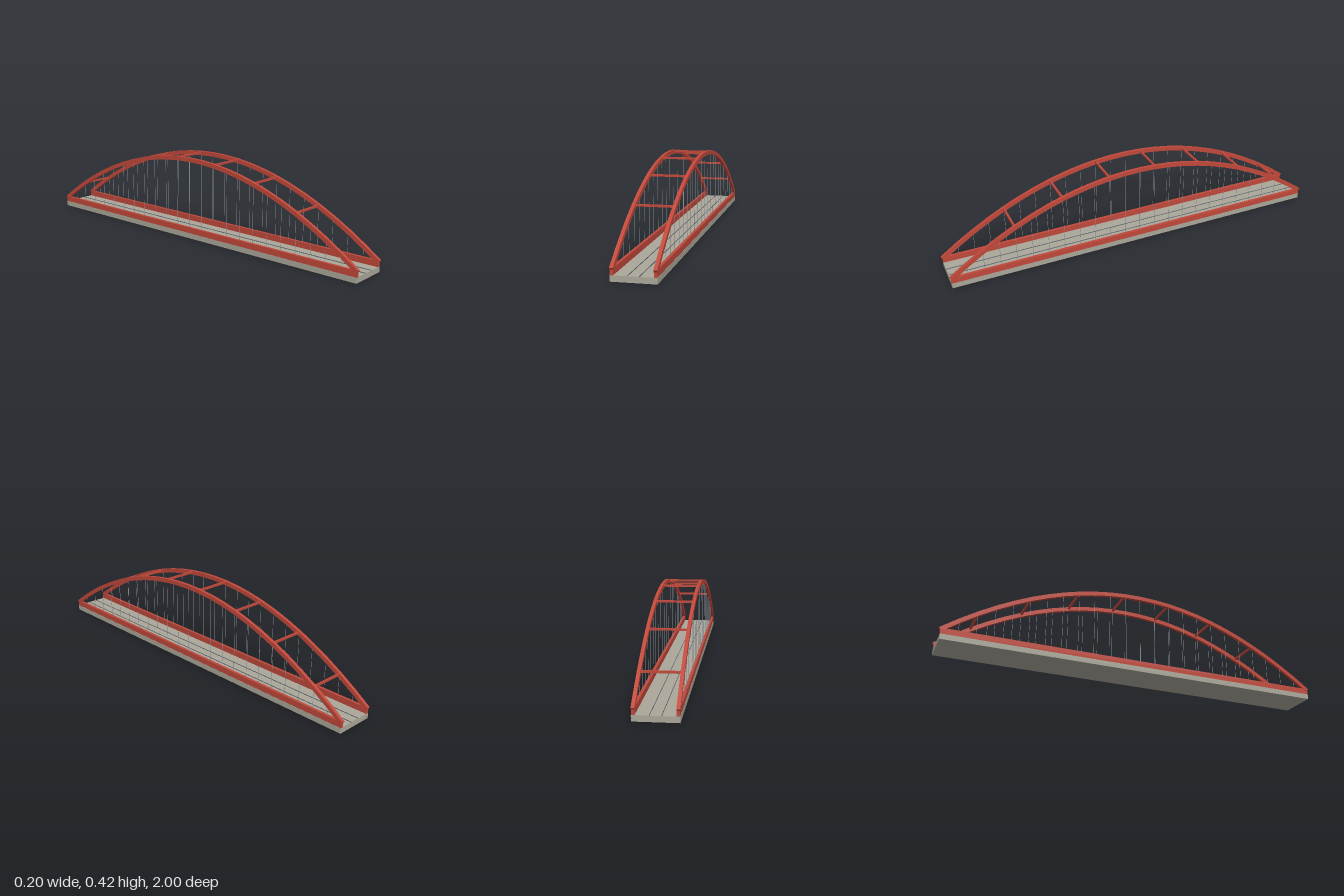
import * as THREE from 'three';

const HALF = 0.995, SEGMENTS = 24, SIDE_X = 0.092;
const BASE_Y = 0.05, RISE = 0.364;
const archY = z => BASE_Y + RISE * (1 - (z / HALF) ** 2);
const nodeZ = k => -HALF + (2 * HALF * k) / SEGMENTS;

function material(name, color) {
  const m = new THREE.MeshStandardMaterial({ color });
  m.name = name;
  return m;
}

export function createModel() {
  const red = material('red steel', 0xc1483b);
  const concrete = material('concrete', 0xaaa699);
  const railSteel = material('rail steel', 0x59636d);
  const cable = material('cable grey', 0x8a9299);
  const model = new THREE.Group();
  model.name = 'archBridge';

  function add(name, geometry, mat, x, y, z, parent = model) {
    const mesh = new THREE.Mesh(geometry, mat);
    mesh.name = name;
    mesh.position.set(x, y, z);
    parent.add(mesh);
    return mesh;
  }

  // Deck slab
  add('deck', new THREE.BoxGeometry(0.2, 0.027, 2 * HALF), concrete, 0, 0.0135, 0);

  // Arch rib: parabola offset along its normal on both sides, then extruded
  const upper = [], lower = [];
  for (let k = 0; k <= SEGMENTS; k++) {
    const z = nodeZ(k), y = archY(z);
    const slope = (-2 * RISE * z) / HALF ** 2;
    const n = new THREE.Vector2(-slope, 1).normalize().multiplyScalar(0.0105);
    upper.push(new THREE.Vector2(z + n.x, y + n.y));
    lower.push(new THREE.Vector2(z - n.x, y - n.y));
  }
  const ribWidth = 0.016;
  const ribGeometry = new THREE.ExtrudeGeometry(
    new THREE.Shape([...upper, ...lower.reverse()]),
    { depth: ribWidth, bevelEnabled: false }
  );
  ribGeometry.translate(0, 0, -ribWidth / 2).rotateY(-Math.PI / 2);

  // Each side: arch rib, edge girder, hangers, and one deck rail
  for (const s of [1, -1]) {
    const side = s > 0 ? 'left' : 'right';
    add(side + 'Arch', ribGeometry, red, s * SIDE_X, 0, 0);
    add(side + 'Girder', new THREE.BoxGeometry(0.014, 0.03, 2 * HALF), red, s * SIDE_X, 0.042, 0);
    add(side + 'Rail', new THREE.BoxGeometry(0.002, 0.003, 2 * HALF), railSteel, s * 0.025, 0.0285, 0);

    const hangers = new THREE.Group();
    hangers.name = side + 'Hangers';
    model.add(hangers);
    for (let k = 1; k < SEGMENTS; k++) {
      const z = nodeZ(k), h = archY(z) - BASE_Y;
      add('hanger', new THREE.CylinderGeometry(0.001, 0.001, h, 6), cable,
        s * SIDE_X, BASE_Y + h / 2, z, hangers);
    }
  }

  // Cross braces joining the two ribs at every third node
  const braceGeometry = new THREE.BoxGeometry(2 * SIDE_X - 0.008, 0.01, 0.01);
  for (let k = 2; k <= 20; k += 3) {
    add('crossBrace', braceGeometry, red, 0, archY(nodeZ(k)) + 0.003, nodeZ(k));
  }
  return model;
}
